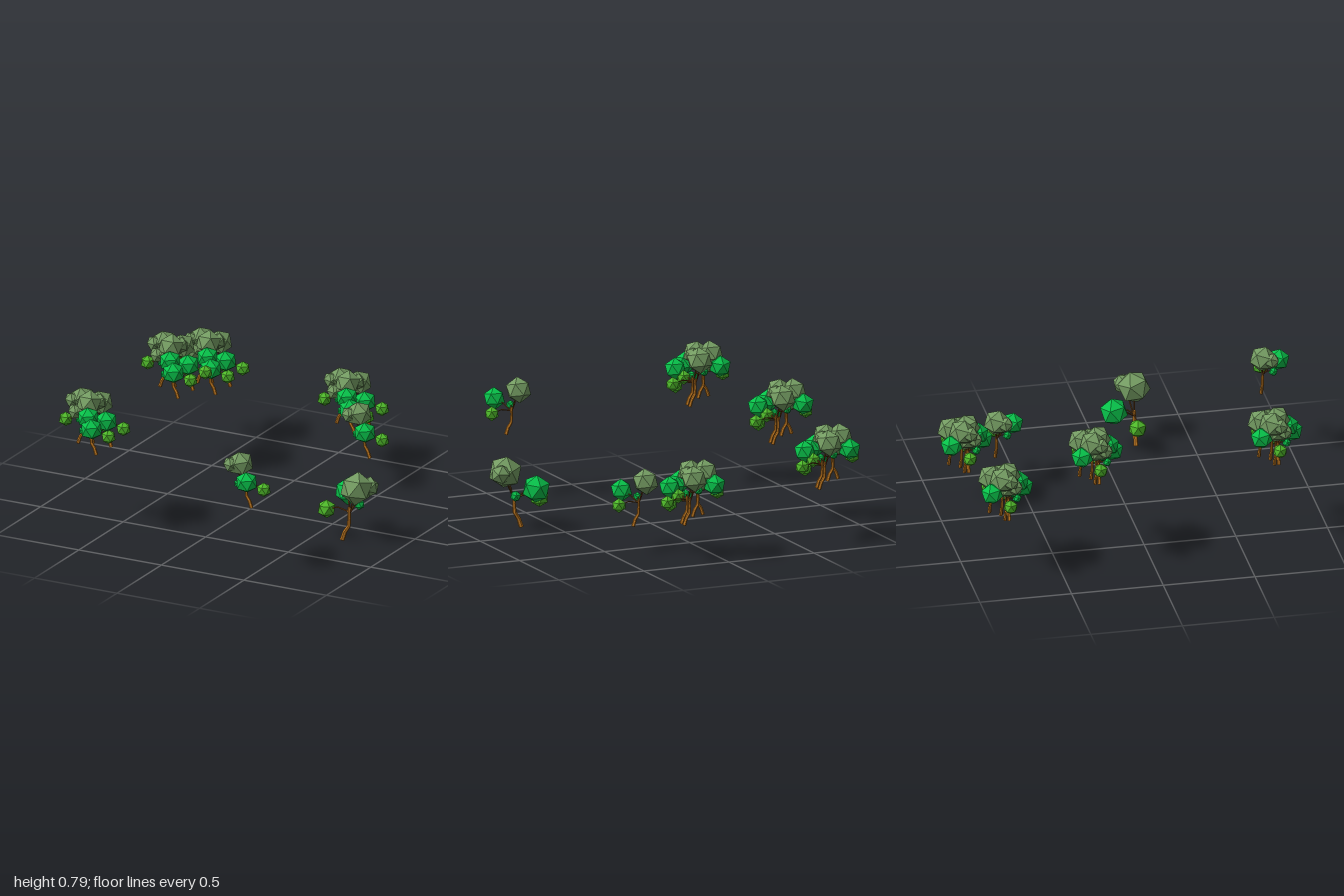
import * as THREE from 'three';

const mat = (color) => new THREE.MeshStandardMaterial({ color, flatShading: true });
const SAGE = mat(0x749c62);
const GREEN = mat(0x08c24a);
const LIME = mat(0x4fba2a);
const BARK = mat(0xc87d22);
const TWIG = mat(0x7a4a1c);

// Icosahedron standing on a vertex
const ball = new THREE.IcosahedronGeometry(1, 0).rotateZ(Math.atan(2 / (1 + Math.sqrt(5))));

// Foliage: name, material, position, radius, turn about y, tilt
const FOLIAGE = [
  ['crown', SAGE, [-0.09, 0.305, -0.008], 0.092, 0.3, 0.25],
  ['crownSide', SAGE, [-0.137, 0.307, 0.042], 0.057, 0.8, 0.4],
  ['frontLeaves', GREEN, [0.03, 0.23, 0.126], 0.078, 0.2, 0.15],
  ['sideLeaves', LIME, [0.102, 0.152, 0.012], 0.052, 0.5, 0],
  ['innerLeaves', GREEN, [-0.065, 0.187, 0.07], 0.031, 0, 0.2],
];

const TRUNK = [[0, 0, 0], [-0.015, 0.045, 0], [-0.038, 0.08, 0], [-0.042, 0.13, 0], [-0.04, 0.185, 0]];

// Chain of tapered cylinders through the given points
function limb(name, points, r0, r1, sides, material) {
  const group = new THREE.Group();
  group.name = name;
  const pts = points.map((p) => new THREE.Vector3(...p));
  const n = pts.length - 1;
  for (let i = 0; i < n; i++) {
    const dir = pts[i + 1].clone().sub(pts[i]);
    const radius = (k) => THREE.MathUtils.lerp(r0, r1, k / n);
    const geo = new THREE.CylinderGeometry(radius(i + 1), radius(i), dir.length() + r1 * 0.5, sides);
    const mesh = new THREE.Mesh(geo, material);
    mesh.name = name + 'Segment';
    mesh.position.copy(pts[i]).addScaledVector(dir, 0.5);
    mesh.quaternion.setFromUnitVectors(new THREE.Vector3(0, 1, 0), dir.normalize());
    group.add(mesh);
  }
  return group;
}

function makeTree(x, y, z, scale, turned) {
  const tree = new THREE.Group();
  tree.name = 'tree';
  tree.add(limb('trunk', TRUNK, 0.013, 0.008, 6, BARK));
  FOLIAGE.forEach(([name, material, pos, r, turn, tilt], i) => {
    const mesh = new THREE.Mesh(ball, material);
    mesh.name = name;
    mesh.position.set(...pos);
    mesh.scale.setScalar(r);
    mesh.rotation.set(tilt, turn, 0);
    tree.add(mesh);
    // Thin branch bending from the trunk to the leaves
    const start = [-0.041, 0.145 + 0.006 * i, 0];
    const bend = [(start[0] + pos[0]) / 2, Math.max(start[1], (start[1] + pos[1]) / 2) + 0.012, pos[2] / 2];
    tree.add(limb('branch', [start, bend, pos], 0.005, 0.003, 5, TWIG));
  });
  tree.position.set(x, y, z);
  tree.scale.setScalar(scale);
  if (turned) tree.rotation.y = Math.PI;
  return tree;
}

// Trees of one grove: offset from its lowest tree, and whether turned round
const GROVE = [
  [0, 0, 0, false],
  [0.05, 0.03, -0.075, false],
  [-0.11, 0.05, 0, true],
  [-0.035, 0.05, -0.03, false],
];

export function createModel() {
  const model = new THREE.Group();
  model.name = 'trees';
  const S = 0.78;

  // Groves
  for (const [x, y, z] of [[-0.63, 0.285, -0.785], [-0.588, 0.43, -0.285], [-0.555, 0.43, 0.7], [0.187, 0.18, -0.835]]) {
    const grove = new THREE.Group();
    grove.name = 'grove';
    for (const [dx, dy, dz, turned] of GROVE) grove.add(makeTree(x + dx, y + dy, z + dz, S, turned));
    model.add(grove);
  }

  // Lone trees
  model.add(makeTree(0.46, 0.348, 0.84, S, false));
  model.add(makeTree(0.39, 0.15, -0.625, S, false));
  model.add(makeTree(0.667, 0, 0.2, 1, true));
  return model;
}
